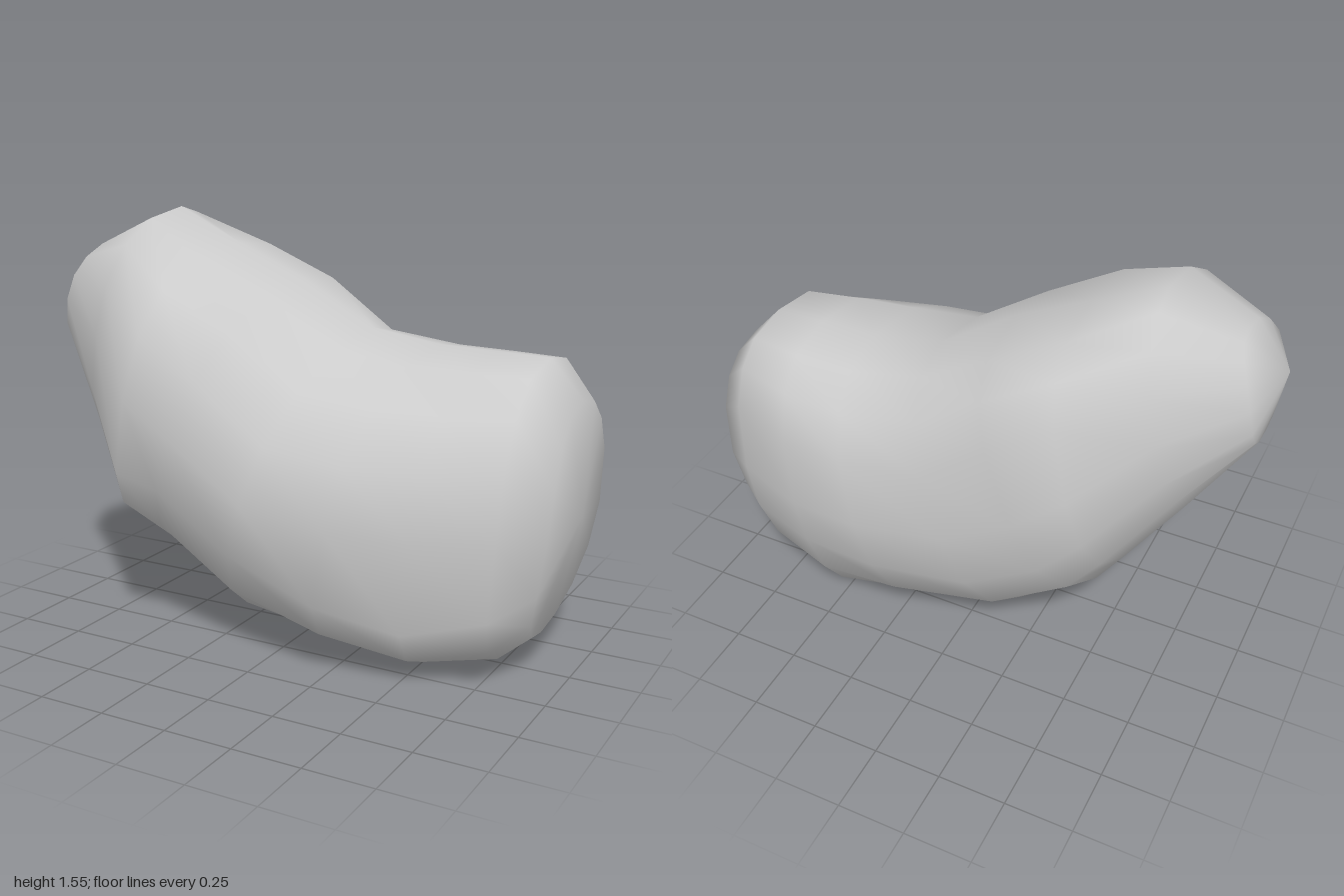
import * as THREE from 'three';

const SIDES = 16;

// Cross-sections from the raised end to the blunt end:
// top [x, y, z], bottom [x, y, z], front z, back z, outward bulge in x,
// roundness of the quarters [front top, back top, front bottom, back bottom] (1 = ellipse, less = squarer)
const sections = [
  { top: [-0.87, 1.425, 0.0], bottom: [-0.96, 1.0, 0.08], front: 0.24, back: -0.14, bulge: -0.03, round: [0.9, 0.9, 0.85, 0.85] },
  { top: [-0.62, 1.55, -0.06], bottom: [-0.77, 0.7, 0.04], front: 0.395, back: -0.34, bulge: 0, round: [0.92, 0.92, 0.7, 0.95] },
  { top: [-0.36, 1.425, -0.06], bottom: [-0.58, 0.42, 0.04], front: 0.545, back: -0.49, bulge: 0, round: [0.82, 0.66, 0.65, 0.95] },
  { top: [-0.1, 1.305, -0.08], bottom: [-0.5, 0.3, 0.04], front: 0.52, back: -0.545, bulge: 0, round: [0.95, 0.66, 0.95, 0.95] },
  { top: [0.17, 1.14, -0.12], bottom: [-0.2, 0.08, 0.0], front: 0.525, back: -0.52, bulge: 0, round: [1.0, 0.85, 1.0, 0.95] },
  { top: [0.43, 1.1, -0.13], bottom: [0.2, 0.04, -0.16], front: 0.53, back: -0.55, bulge: 0, round: [0.95, 0.8, 0.65, 1.0] },
  { top: [0.65, 1.095, -0.13], bottom: [0.52, 0.0, -0.26], front: 0.45, back: -0.52, bulge: 0, round: [0.92, 0.75, 0.52, 1.1] },
  { top: [0.84, 1.09, -0.13], bottom: [0.77, 0.04, -0.18], front: 0.35, back: -0.44, bulge: 0.04, round: [0.9, 0.68, 0.62, 1.0] },
  { top: [0.965, 0.955, -0.12], bottom: [0.87, 0.12, -0.06], front: 0.21, back: -0.36, bulge: 0.05, round: [0.9, 0.75, 0.8, 0.95] },
];
const leftTip = [-1.0, 1.23, 0.11];
const rightTip = [1.0, 0.57, -0.06];

const softPow = (v, e) => Math.sign(v) * Math.pow(Math.abs(v), e);

// One closed ring, running front, top, back, bottom
function ring({ top, bottom, front, back, bulge, round }) {
  const points = [];
  for (let j = 0; j < SIDES; j++) {
    const a = (j / SIDES) * Math.PI * 2;
    const upper = j <= SIDES / 2;
    const forward = Math.cos(a) >= 0;
    const e = round[(upper ? 0 : 2) + (forward ? 0 : 1)];
    const c = softPow(Math.cos(a), e);
    const s = softPow(Math.sin(a), e);
    const t = (s + 1) / 2;
    const ridge = upper ? top[2] : bottom[2];
    const reach = forward ? front - ridge : ridge - back;
    points.push(
      THREE.MathUtils.lerp(bottom[0], top[0], t) + bulge * (1 - s * s),
      THREE.MathUtils.lerp(bottom[1], top[1], t),
      ridge + reach * c
    );
  }
  return points;
}

function boulderGeometry() {
  const positions = sections.flatMap(ring);
  positions.push(...leftTip, ...rightTip);
  const left = sections.length * SIDES;
  const right = left + 1;
  const last = (sections.length - 1) * SIDES;
  const index = [];
  for (let j = 0; j < SIDES; j++) {
    const k = (j + 1) % SIDES;
    index.push(left, j, k);
    for (let r = 0; r < last; r += SIDES) {
      index.push(r + j, r + SIDES + j, r + k);
      index.push(r + k, r + SIDES + j, r + SIDES + k);
    }
    index.push(last + j, right, last + k);
  }
  const geometry = new THREE.BufferGeometry();
  geometry.setAttribute('position', new THREE.Float32BufferAttribute(positions, 3));
  geometry.setIndex(index);
  geometry.computeVertexNormals();
  return geometry;
}

export function createModel() {
  const group = new THREE.Group();
  group.name = 'rock';
  const boulder = new THREE.Mesh(boulderGeometry(), new THREE.MeshStandardMaterial({ color: 0xcccccc }));
  boulder.name = 'boulder';
  group.add(boulder);
  return group;
}
